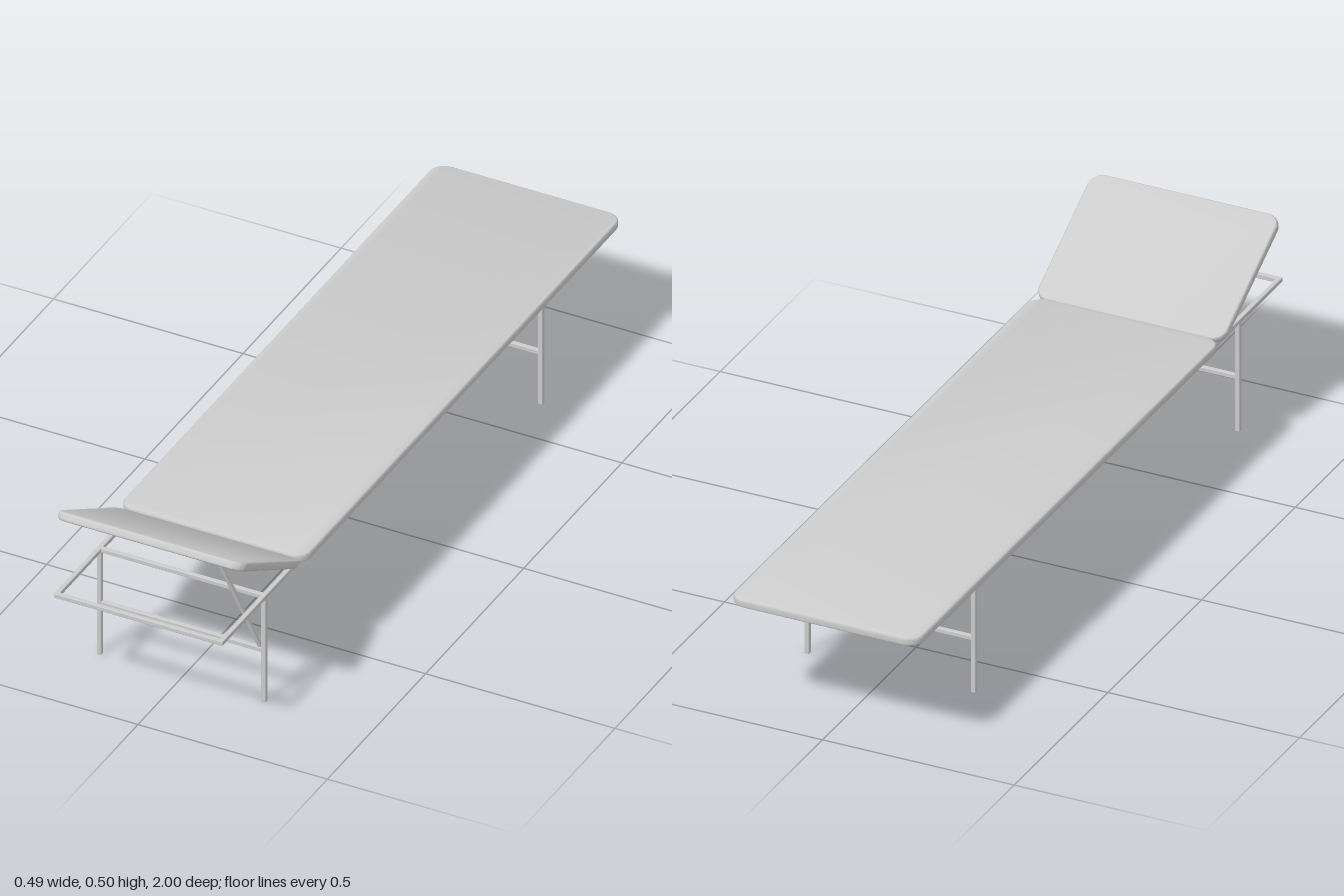
import * as THREE from 'three';
import { toCreasedNormals } from 'three/addons/utils/BufferGeometryUtils.js';
import { RoundedBoxGeometry } from 'three/addons/geometries/RoundedBoxGeometry.js';

const material = new THREE.MeshStandardMaterial({ color: 0xcccccc });
const T = 0.012; // tube thickness
const X = 0.217; // side rail offset
const RAIL_Y = 0.295;

// Square tube with softened edges between two points
function tube(name, a, b, overlap = T / 2) {
  const start = new THREE.Vector3(...a);
  const end = new THREE.Vector3(...b);
  const length = start.distanceTo(end) + overlap * 2;
  const mesh = new THREE.Mesh(new RoundedBoxGeometry(T, length, T, 2, 0.002), material);
  mesh.name = name;
  mesh.position.copy(start).add(end).multiplyScalar(0.5);
  mesh.quaternion.setFromUnitVectors(new THREE.Vector3(0, 1, 0), end.sub(start).normalize());
  return mesh;
}

// Flat cushion with rounded corners and softened rim, centred on its origin
function cushion(name, width, length, thickness, radius) {
  const bevel = 0.008;
  const w = width / 2 - bevel, l = length / 2 - bevel, r = radius - bevel;
  const shape = new THREE.Shape();
  shape.absarc(w - r, l - r, r, 0, Math.PI / 2);
  shape.absarc(-w + r, l - r, r, Math.PI / 2, Math.PI);
  shape.absarc(-w + r, -l + r, r, Math.PI, Math.PI * 1.5);
  shape.absarc(w - r, -l + r, r, Math.PI * 1.5, Math.PI * 2);
  const geometry = new THREE.ExtrudeGeometry(shape, {
    depth: thickness - 2 * bevel, bevelThickness: bevel, bevelSize: bevel,
    bevelSegments: 4, curveSegments: 8,
  });
  geometry.translate(0, 0, bevel - thickness / 2);
  geometry.rotateX(-Math.PI / 2);
  const mesh = new THREE.Mesh(toCreasedNormals(geometry, 0.6), material);
  mesh.name = name;
  return mesh;
}

export function createModel() {
  const model = new THREE.Group();
  model.name = 'daybed';

  // Long rails and the cross bars between them
  const frame = new THREE.Group();
  frame.name = 'frame';
  for (const [side, s] of [['left', 1], ['right', -1]]) {
    frame.add(tube(`${side}Rail`, [s * X, RAIL_Y, -0.855], [s * X, RAIL_Y, 0.994]));
  }
  for (const z of [-0.855, -0.635, 0.075, 0.64, 0.775, 0.994]) {
    frame.add(tube('crossBar', [-X, RAIL_Y, z], [X, RAIL_Y, z]));
  }
  model.add(frame);

  // Two leg pairs, each with a stretcher
  for (const [name, z] of [['frontLegs', 0.775], ['backLegs', -0.635]]) {
    const legs = new THREE.Group();
    legs.name = name;
    for (const s of [-1, 1]) legs.add(tube('leg', [s * X, 0, z], [s * X, RAIL_Y, z], 0));
    legs.add(tube('stretcher', [-X, 0.145, z], [X, 0.145, z], 0));
    model.add(legs);
  }

  // Flat mattress
  const mattress = cushion('mattress', 0.494, 1.628, 0.023, 0.04);
  mattress.position.set(0, 0.312, -0.186);
  model.add(mattress);

  // Raised headrest and its single prop
  const headrest = cushion('headrest', 0.494, 0.365, 0.022, 0.035);
  headrest.position.set(0, 0.399, 0.793);
  headrest.rotation.x = -0.515;
  model.add(headrest);
  const prop = tube('headrestProp', [0.206, 0.152, 0.775], [0.149, 0.427, 0.872], 0);
  prop.scale.set(0.8, 1, 0.8);
  model.add(prop);

  return model;
}
